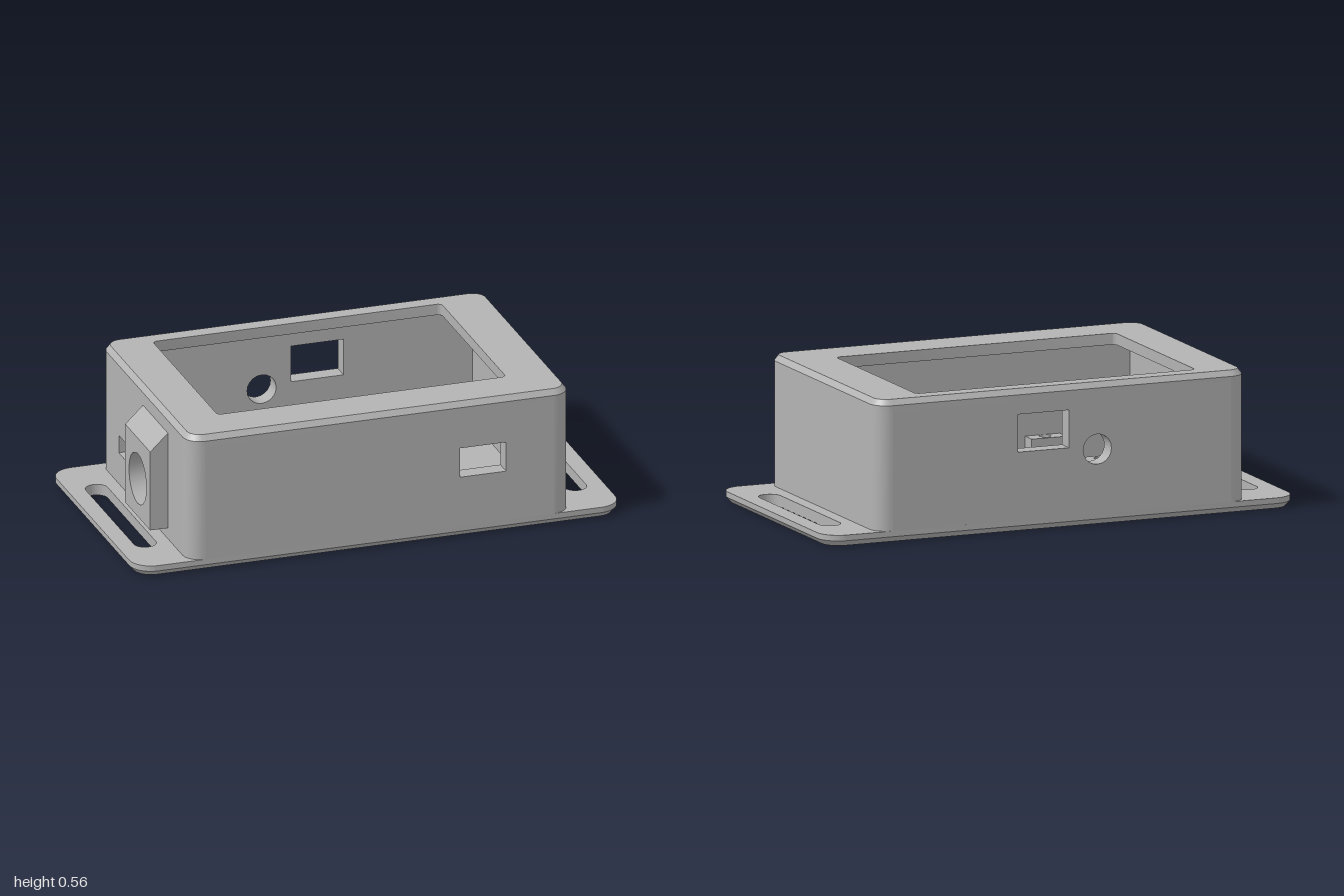
import * as THREE from 'three';
import { toCreasedNormals } from 'three/addons/utils/BufferGeometryUtils.js';

const T = 0.07;               // wall thickness, also the body corner radius
const HX = 0.787, HZ = 0.525; // half size of the body
const FLOOR = 0.045, LID = 0.52, TOP = 0.565;

// rounded rectangle drawn from its two corners
function roundRect(x0, y0, x1, y1, r, Type = THREE.Path) {
  const p = new Type();
  p.moveTo(x0 + r, y0);
  p.lineTo(x1 - r, y0);
  p.absarc(x1 - r, y0 + r, r, -Math.PI / 2, 0);
  p.lineTo(x1, y1 - r);
  p.absarc(x1 - r, y1 - r, r, 0, Math.PI / 2);
  p.lineTo(x0 + r, y1);
  p.absarc(x0 + r, y1 - r, r, Math.PI / 2, Math.PI);
  p.lineTo(x0, y0 + r);
  p.absarc(x0 + r, y0 + r, r, Math.PI, Math.PI * 1.5);
  return p;
}

function rect(x0, y0, x1, y1, Type = THREE.Path) {
  return new Type([[x0, y0], [x1, y0], [x1, y1], [x0, y1]].map(p => new THREE.Vector2(...p)));
}

function circle(x, y, r) {
  return new THREE.Path().absarc(x, y, r, 0, Math.PI * 2);
}

function extrude(shape, holes, depth, steps = 1) {
  shape.holes.push(...holes);
  return new THREE.ExtrudeGeometry(shape, { depth, steps, bevelEnabled: false, curveSegments: 10 });
}

// move every vertex by a rule that edits a vector
function warp(geo, rule) {
  const pos = geo.attributes.position, v = new THREE.Vector3();
  for (let i = 0; i < pos.count; i++) {
    rule(v.fromBufferAttribute(pos, i));
    pos.setXYZ(i, v.x, v.y, v.z);
  }
  return geo;
}

// pull the outer rim of a rounded plate inwards at one height
function chamfer(v, hx, hz, r, y, amount) {
  if (Math.abs(v.y - y) > 1e-4) return;
  const cx = THREE.MathUtils.clamp(v.x, r - hx, hx - r);
  const cz = THREE.MathUtils.clamp(v.z, r - hz, hz - r);
  const d = Math.hypot(v.x - cx, v.z - cz);
  if (d < r - 1e-3) return;
  const k = (r - amount) / d;
  v.x = cx + (v.x - cx) * k;
  v.z = cz + (v.z - cz) * k;
}

export function createModel() {
  const model = new THREE.Group();
  model.name = 'enclosure';
  const grey = new THREE.MeshStandardMaterial({ color: 0xb3b3b3 });
  grey.name = 'grey plastic';

  function add(name, geo) {
    const mesh = new THREE.Mesh(toCreasedNormals(geo, 0.6), grey);
    mesh.name = name;
    model.add(mesh);
    return mesh;
  }
  // horizontal slab: shape is drawn in x and z
  const slab = (shape, holes, y0, y1, steps) =>
    extrude(shape, holes, y1 - y0, steps).rotateX(Math.PI / 2).translate(0, y1, 0);
  // slab standing across x: shape is drawn in z and y
  const sideSlab = (shape, holes, x0, x1) =>
    extrude(shape, holes, x1 - x0).rotateY(-Math.PI / 2).translate(x1, 0, 0);

  // base plate with strap slots and countersunk screw holes
  const screws = [];
  for (const x of [-0.345, 0.345]) for (const z of [-0.43, 0.43]) screws.push([x, z]);
  const baseHoles = screws.map(([x, z]) => circle(x, z, 0.024));
  for (const s of [-1, 1]) baseHoles.push(roundRect(s * 0.885 - 0.045, -0.333, s * 0.885 + 0.045, 0.333, 0.0449));
  add('basePlate', warp(
    slab(roundRect(-1, -HZ, 1, HZ, 0.09, THREE.Shape), baseHoles, 0, FLOOR, 2), v => {
      chamfer(v, 1, HZ, 0.09, 0, 0.02);
      for (const [x, z] of screws) {
        if (Math.abs(v.y) < 1e-4 && Math.hypot(v.x - x, v.z - z) < 0.03) {
          v.x = x + (v.x - x) * 1.8;
          v.z = z + (v.z - z) * 1.8;
        }
      }
    }));

  // long walls with port openings
  const ix = HX - T, iz = HZ - T;
  const longWall = () => rect(-ix, FLOOR, ix, LID, THREE.Shape);
  add('frontWall', extrude(longWall(), [rect(0.33, 0.25, 0.52, 0.372)], T).translate(0, 0, iz));
  add('backWall', extrude(longWall(),
    [rect(-0.03, 0.315, 0.187, 0.465), circle(-0.15, 0.3, 0.06)], T).translate(0, 0, -HZ));

  // end walls
  const endWall = () => rect(-iz, FLOOR, iz, LID, THREE.Shape);
  add('leftWall', sideSlab(endWall(), [], ix, HX));
  add('rightWall', sideSlab(endWall(),
    [rect(-0.31, 0.175, -0.13, 0.248), circle(0.13, 0.25, 0.085)], -HX, -ix));

  // rounded wall corners
  [[1, 1], [1, -1], [-1, -1], [-1, 1]].forEach(([sx, sz], i) => {
    const geo = new THREE.CylinderGeometry(T, T, LID - FLOOR, 10, 1, true, i * Math.PI / 2, Math.PI / 2);
    add('wallCorner', geo).position.set(sx * ix, (LID + FLOOR) / 2, sz * iz);
  });

  // top rim around the display opening
  add('topRim', warp(
    slab(roundRect(-HX, -HZ, HX, HZ, T, THREE.Shape),
      [roundRect(-0.602, -0.445, 0.585, 0.335, 0.02)], LID, TOP, 2),
    v => chamfer(v, HX, HZ, T, TOP, 0.017)));

  // connector housing with a sloped top
  add('connectorHousing', warp(
    sideSlab(rect(-0.02, 0.09, 0.28, 0.49, THREE.Shape), [circle(0.13, 0.25, 0.105)], -0.86, -HX),
    v => { if (v.x < -0.85 && v.y > 0.48) v.y = 0.42; }));

  // screw posts against the long walls
  for (const [x, z] of screws) {
    const z0 = z < 0 ? -iz : 0.39, z1 = z < 0 ? -0.39 : iz;
    add('screwPost', slab(rect(x - 0.074, z0, x + 0.074, z1, THREE.Shape),
      [circle(x, z, 0.0235)], FLOOR, 0.16));
  }

  // row of board supports on the floor
  for (let i = 0; i < 4; i++) {
    const x = -0.365 + i * 0.24;
    add('boardSupport', slab(rect(x - 0.075, -0.097, x + 0.075, -0.012, THREE.Shape),
      [circle(x, -0.053, 0.022)], FLOOR, 0.16));
  }

  // slim guide posts: x, z, width, depth, top
  for (const [x, z, w, d, top] of [
    [0.11, 0.425, 0.04, 0.05, 0.29], [0.01, 0.425, 0.05, 0.05, 0.2],
    [-0.65, -0.43, 0.03, 0.04, 0.2], [-0.69, -0.23, 0.04, 0.03, 0.27],
  ]) {
    add('guidePost', new THREE.BoxGeometry(w, top - FLOOR, d)).position.set(x, (top + FLOOR) / 2, z);
  }
  return model;
}
